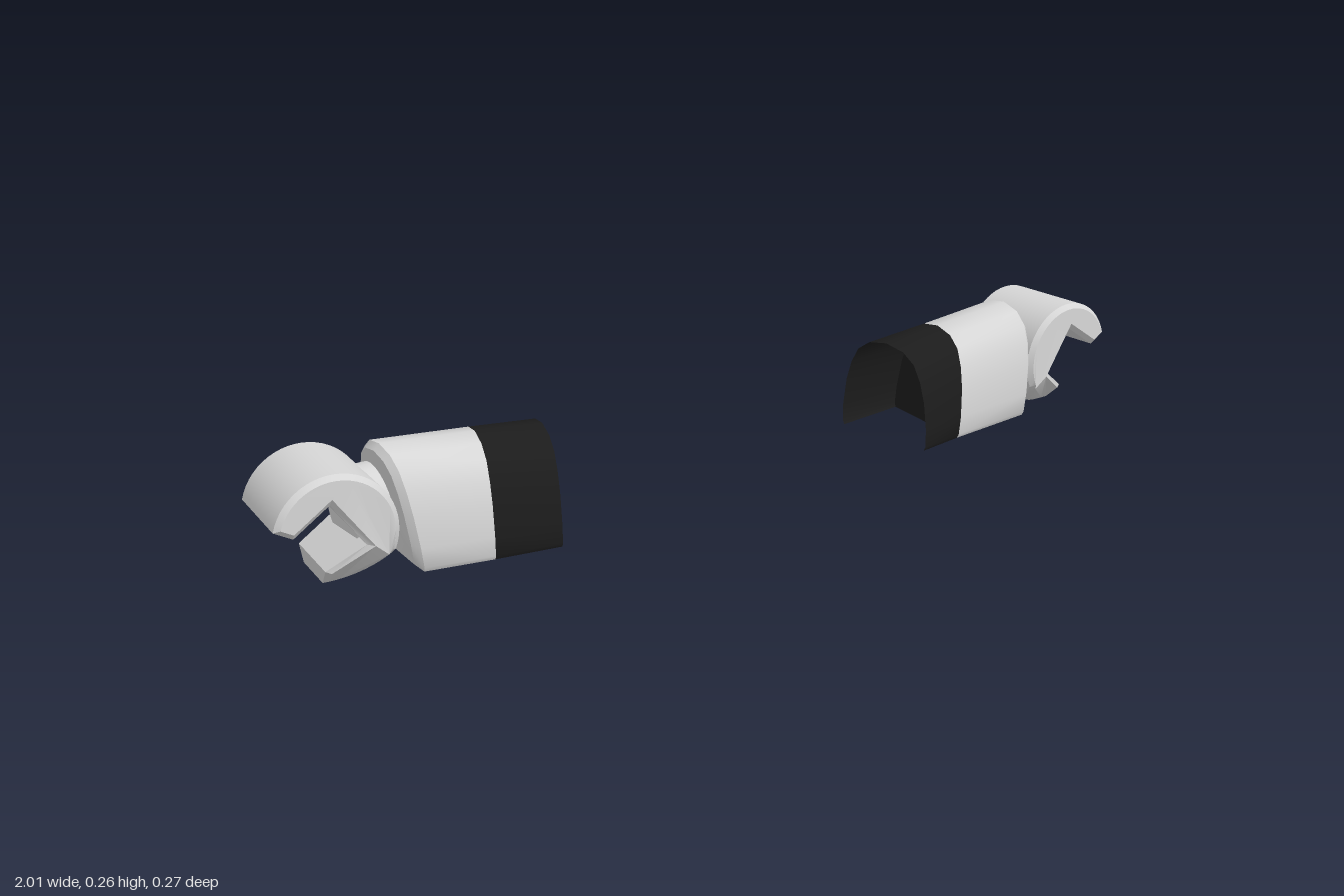
import * as THREE from 'three';
import { toCreasedNormals } from 'three/addons/utils/BufferGeometryUtils.js';

const shell = new THREE.MeshStandardMaterial({ color: 0xd6d6d6 });
shell.name = 'light grey';
const dark = new THREE.MeshStandardMaterial({ color: 0x1c1c1c, side: THREE.DoubleSide });
dark.name = 'near black';

// Half of the arched arm section: [across, height], front bottom to crown
const HALF = [[0.96, 0], [1, 0.04], [1, 0.22], [0.93, 0.5], [0.82, 0.7], [0.66, 0.86], [0.4, 0.96], [0, 1]];
const ARCH = [...HALF, ...HALF.slice(0, -1).reverse().map(([a, h]) => [-a, h])];

// Arm cross-section at x, with its plane leaning along z and y
function ring(x, leanZ, leanY, size = 1) {
  const t = (x - 0.415) / 0.34;
  const mix = (a, b) => THREE.MathUtils.lerp(a, b, t);
  const zc = mix(0.018, -0.004), hw = mix(0.113, 0.116);
  const y0 = mix(0.02, 0.035), y1 = mix(0.238, 0.264), yc = (y0 + y1) / 2;
  return ARCH.map(([a, h]) => {
    const z = a * hw * size;
    const y = (y0 + h * (y1 - y0) - yc) * size;
    return new THREE.Vector3(x + leanZ * z + leanY * y, yc + y, zc + z);
  });
}

// Skin a row of cross-sections
function loft(rings, closed) {
  const out = [];
  const n = ARCH.length;
  for (let i = 0; i < rings.length - 1; i++) {
    for (let j = 0; j < (closed ? n : n - 1); j++) {
      const k = (j + 1) % n;
      const [a, b, c, d] = [rings[i][j], rings[i + 1][j], rings[i + 1][k], rings[i][k]];
      out.push(a, b, c, a, c, d);
    }
  }
  return new THREE.BufferGeometry().setFromPoints(out);
}

// Extruded C-shaped grip opening outwards and down
function clawGeometry() {
  const R = 0.122, gap = 0.056, floor = -0.03, half = THREE.MathUtils.degToRad(50);
  const s = new THREE.Shape();
  s.moveTo(0.06, gap);
  s.lineTo(R * Math.cos(half), R * Math.sin(half));
  s.absarc(0, 0, R, half, Math.PI * 2 - half, false);
  s.lineTo(0.06, -gap);
  s.lineTo(floor, -gap);
  s.lineTo(floor, gap);
  s.closePath();
  const bevel = 0.01, depth = 0.212;
  const g = new THREE.ExtrudeGeometry(s, {
    depth: depth - 2 * bevel, curveSegments: 20, bevelEnabled: true,
    bevelThickness: bevel, bevelSize: bevel, bevelOffset: -bevel, bevelSegments: 1
  });
  g.translate(0, 0, bevel - depth / 2);
  g.rotateZ(THREE.MathUtils.degToRad(-35));
  // Cut the front of the lower finger back on a slope
  const p = g.attributes.position;
  for (let i = 0; i < p.count; i++) {
    if (p.getZ(i) > 0 && p.getY(i) < -0.05) p.setZ(i, p.getZ(i) + (p.getY(i) + 0.05) * 1.1);
  }
  g.rotateX(-0.04);
  g.rotateY(0.08);
  g.translate(0.878, 0.128, -0.025);
  return g;
}

// Mesh on the chosen side; the mirrored side gets its corners reversed
function part(name, geometry, material, side, crease = 0.6) {
  let g = geometry.index ? geometry.toNonIndexed() : geometry;
  if (side < 0) {
    g.scale(-1, 1, 1);
    const p = g.attributes.position;
    const a = new THREE.Vector3(), b = new THREE.Vector3();
    for (let i = 0; i < p.count; i += 3) {
      a.fromBufferAttribute(p, i + 1);
      b.fromBufferAttribute(p, i + 2);
      p.setXYZ(i + 1, b.x, b.y, b.z);
      p.setXYZ(i + 2, a.x, a.y, a.z);
    }
  }
  g.deleteAttribute('uv');
  g.deleteAttribute('normal');
  g = toCreasedNormals(g, crease);
  const m = new THREE.Mesh(g, material);
  m.name = name;
  return m;
}

function hand(side) {
  const group = new THREE.Group();
  group.name = side > 0 ? 'leftHand' : 'rightHand';

  // Line where the dark cuff meets the light forearm
  const seam = side > 0 ? ring(0.55, 0, 0.1) : ring(0.565, 0.2, 0);
  const seamCentre = seam.map(() => new THREE.Vector3(side > 0 ? 0.55 : 0.565, 0.14, 0.008));
  const end = ring(0.745, 0, 0.12);
  const lip = ring(0.758, 0, 0.12, 0.88);
  const lipCentre = lip.map(() => new THREE.Vector3(0.758, 0.15, -0.004));
  const cuffEnd = ring(side > 0 ? 0.415 : 0.424, side > 0 ? 0.24 : 0.2, 0);

  group.add(part('forearm', loft([seam, end, lip, lipCentre], true), shell, side));
  group.add(part('cuff', loft([cuffEnd, seam], false), dark, side));
  group.add(part('cuffInnerWall', loft([seamCentre, seam], true), dark, side));

  // Wrist peg between forearm and grip
  const wrist = new THREE.CylinderGeometry(0.075, 0.075, 0.09, 24);
  wrist.rotateZ(Math.PI / 2);
  wrist.translate(0.785, 0.14, -0.03);
  group.add(part('wrist', wrist, shell, side));

  group.add(part('grip', clawGeometry(), shell, side, 0.5));
  return group;
}

export function createModel() {
  const model = new THREE.Group();
  model.name = 'pairOfHands';
  for (const side of [1, -1]) model.add(hand(side));
  return model;
}
